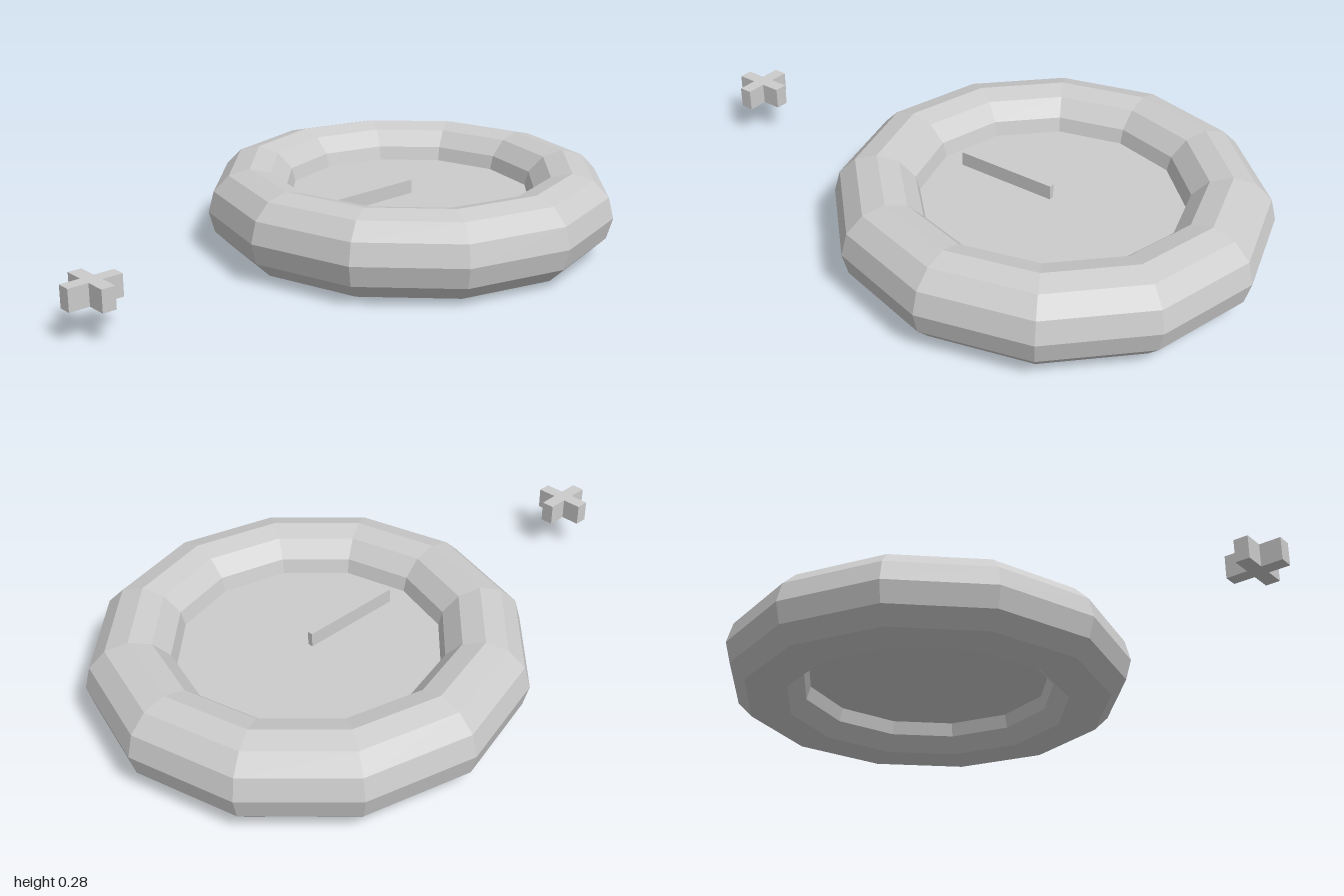
import * as THREE from 'three';

const material = new THREE.MeshStandardMaterial({ color: 0xcccccc, flatShading: true });

function part(name, geometry, x, y, z) {
  const mesh = new THREE.Mesh(geometry, material);
  mesh.name = name;
  mesh.position.set(x, y, z);
  return mesh;
}

export function createModel() {
  const model = new THREE.Group();
  model.name = 'ringDial';
  const ringX = 0.322, midY = 0.138;

  // Faceted outer ring lying flat
  const ring = new THREE.TorusGeometry(0.54, 0.138, 12, 12);
  ring.rotateX(-Math.PI / 2);
  model.add(part('ring', ring, ringX, midY, 0));

  // Plate filling the ring, its rim buried in the ring wall
  model.add(part('plate', new THREE.CylinderGeometry(0.43, 0.43, 0.046, 12), ringX, midY, 0));

  // Pointer standing on the plate, from its centre towards -x
  model.add(part('pointer', new THREE.BoxGeometry(0.336, 0.046, 0.018), ringX - 0.168, 0.184, 0));

  // Small separate plus-shaped block, extruded from its outline
  const a = 0.0875, b = 0.022;
  const outline = new THREE.Shape([
    [a, -b], [a, b], [b, b], [b, a], [-b, a], [-b, b],
    [-a, b], [-a, -b], [-b, -b], [-b, -a], [b, -a], [b, -b],
  ].map(([x, y]) => new THREE.Vector2(x, y)));
  const plus = new THREE.ExtrudeGeometry(outline, { depth: 0.07, bevelEnabled: false });
  plus.translate(0, 0, -0.035).rotateX(-Math.PI / 2);
  model.add(part('plusBlock', plus, -0.9125, midY, 0));

  return model;
}
